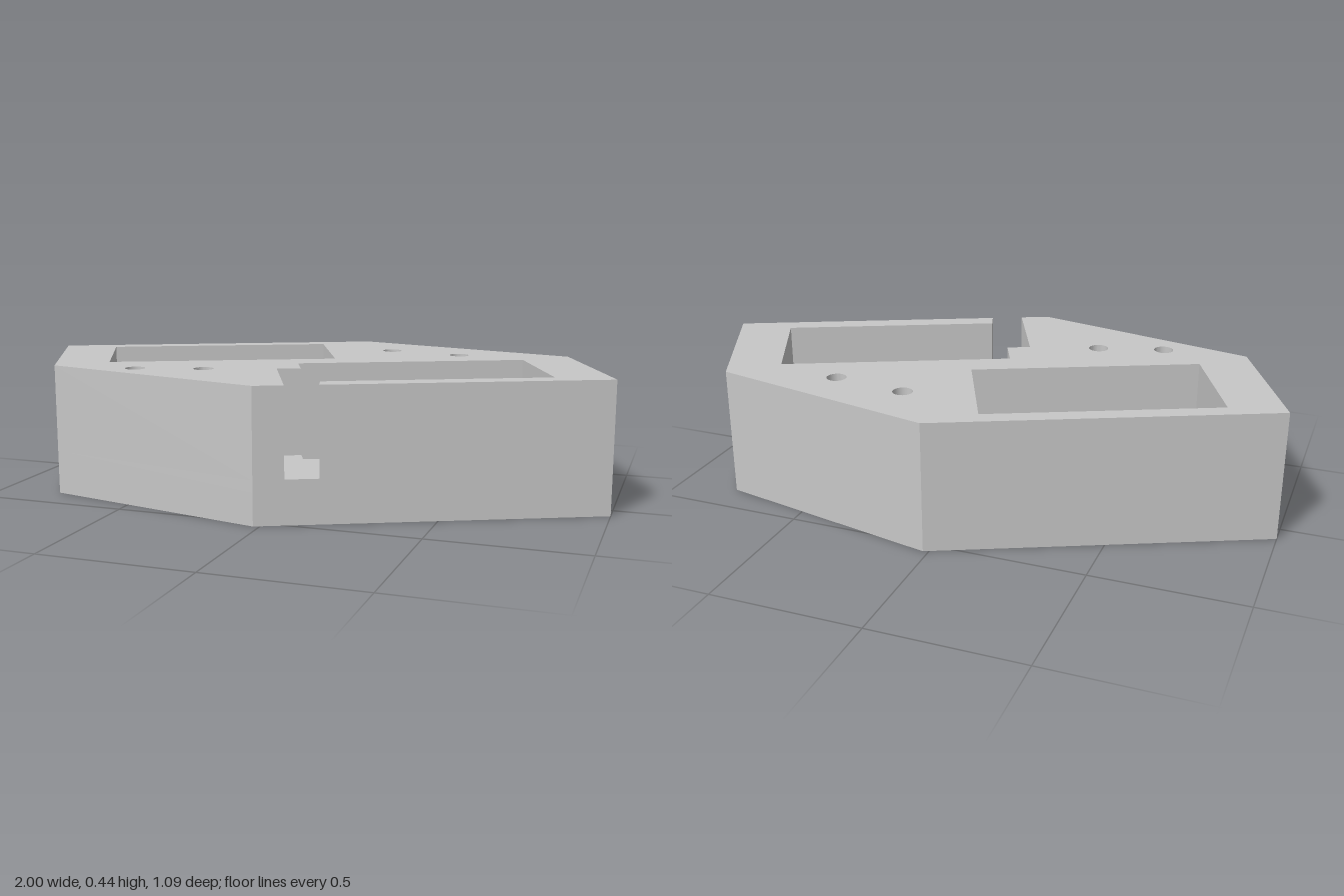
import * as THREE from 'three';
import { toCreasedNormals } from 'three/addons/utils/BufferGeometryUtils.js';

const HEIGHT = 0.435, SLOT_FLOOR = 0.145, POCKET_FLOOR = 0.105, NUT_DEPTH = 0.05;

// Plan coordinates are [x, z]; shapes are drawn in x, -z and laid flat afterwards
const toPoints = (list) => list.map(([x, z]) => new THREE.Vector2(x, -z));

// Points on an arc in plan
function arc([x, z], radius, start, sweep, segments) {
  return Array.from({ length: segments + 1 }, (_, i) => {
    const a = start + (sweep * i) / segments;
    return [x + radius * Math.cos(a), z + radius * Math.sin(a)];
  });
}

// Closed regular polygon in plan
const ring = (centre, radius, sides, start) => arc(centre, radius, start, Math.PI * 2, sides).slice(0, sides);

export function createModel() {
  const group = new THREE.Group();
  group.name = 'pocketedBlock';
  const grey = new THREE.MeshStandardMaterial({ color: 0xc7c7c7 });
  grey.name = 'plain grey';

  const back = [[-1, -0.068], [0.018, -0.543], [0.79, -0.381], [1, 0.068]];
  const front = [[1, 0.068], [-0.02, 0.543], [-0.79, 0.378], [-1, -0.068]];
  const outline = [...back, front[1], front[2]];
  const pocketA = [[-0.815, -0.093], [-0.12, -0.416], [0.04, -0.073], [-0.655, 0.25]];
  const pocketB = [[-0.043, 0.072], [0.655, -0.253], [0.812, 0.087], [0.117, 0.412]];

  // Outline above the slot floor: the slot opens the second pocket to the front face
  const notchedOutline = [
    ...back,
    [0.166, 0.457], [0.146, 0.398],
    pocketB[2], pocketB[1], pocketB[0],
    [0.003, 0.172], [-0.068, 0.206], [0.068, 0.502],
    front[1], front[2],
  ];

  // The lower slabs meet along a line through the big round hole
  const holeCentre = [-0.565, 0], holeRadius = 0.186;
  const backHalf = [...back, ...arc(holeCentre, holeRadius, 0, -Math.PI, 32)];
  const frontHalf = [...front, ...arc(holeCentre, holeRadius, Math.PI, -Math.PI, 32)];

  const backScrews = [[0.172, -0.33], [0.425, -0.295]];
  const frontScrews = [[-0.51, 0.344], [-0.295, 0.28]];
  const screwHoles = (list) => list.map((p) => ring(p, 0.033, 24, 0.1));
  const nutHoles = (list) => list.map((p) => ring(p, 0.053, 6, 0));

  // One horizontal slab of the block with its cut-outs
  function addSlab(name, plan, holes, bottom, top) {
    // Outer loop runs counter-clockwise so that the hole walls face inward
    const shape = new THREE.Shape(toPoints(plan).reverse());
    shape.holes = holes.map((hole) => new THREE.Path(toPoints(hole)));
    const geometry = new THREE.ExtrudeGeometry(shape, { depth: top - bottom, bevelEnabled: false });
    geometry.rotateX(-Math.PI / 2);
    geometry.translate(0, bottom, 0);
    const mesh = new THREE.Mesh(toCreasedNormals(geometry, 0.4), grey);
    mesh.name = name;
    group.add(mesh);
  }

  // Base with nut recesses, and the pocket floor above it
  for (const [side, plan, screws] of [['back', backHalf, backScrews], ['front', frontHalf, frontScrews]]) {
    addSlab(side + 'NutRecessBase', plan, nutHoles(screws), 0, NUT_DEPTH);
    addSlab(side + 'PocketFloor', plan, screwHoles(screws), NUT_DEPTH, POCKET_FLOOR);
  }

  // Walls around the pockets, below and above the slot floor
  const allScrews = [...backScrews, ...frontScrews];
  addSlab('slotFloor', outline, [pocketA, pocketB, ...screwHoles(allScrews)], POCKET_FLOOR, SLOT_FLOOR);
  addSlab('upperWalls', notchedOutline, [pocketA, ...screwHoles(allScrews)], SLOT_FLOOR, HEIGHT);

  return group;
}
